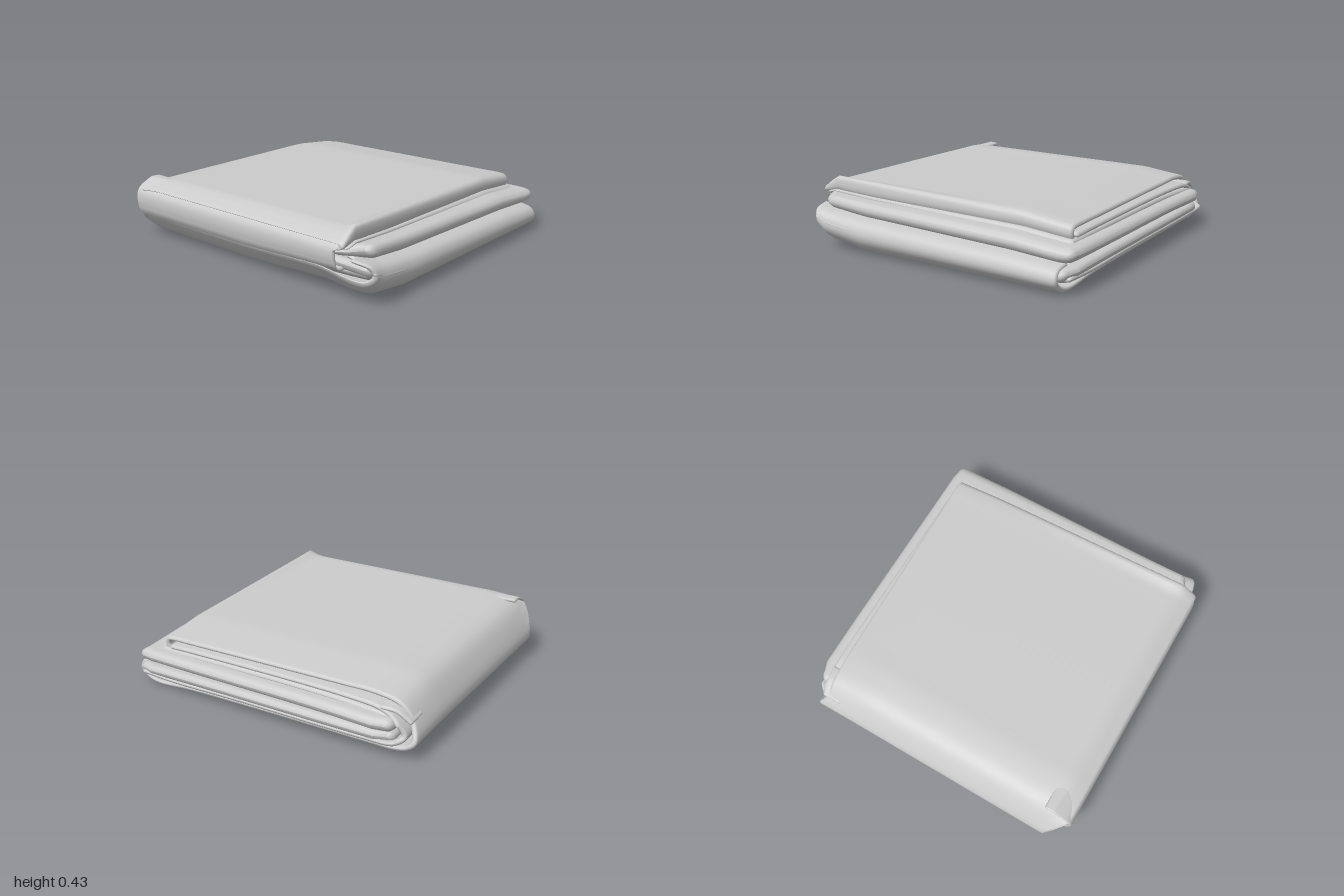
import * as THREE from 'three';

const material = new THREE.MeshStandardMaterial({ color: 0xcccccc, side: THREE.DoubleSide });
const smooth = THREE.MathUtils.smoothstep;

// Piecewise-linear lookup through [x, value] pairs
function lookup(table, x) {
  if (x <= table[0][0]) return table[0][1];
  for (let i = 1; i < table.length; i++) {
    const [x1, v1] = table[i], [x0, v0] = table[i - 1];
    if (x <= x1) return v0 + (v1 - v0) * (x - x0) / (x1 - x0);
  }
  return table[table.length - 1][1];
}

// Height of the top and underside of the whole stack along x
const TOP = [[-0.95, 0.36], [-0.83, 0.408], [0.53, 0.392], [0.82, 0.355], [0.95, 0.345]];
const BOTTOM = [[-0.95, 0.2], [-0.87, 0.1], [-0.8, 0.035], [-0.53, 0], [0.86, 0], [0.95, 0.03]];
const BOTTOM_BACK = [[-0.95, 0.18], [-0.87, 0.06], [-0.82, 0], [0.86, 0], [0.95, 0.03]];

// Sag of the stack: sloping top, raised front lip on one side, tilted middle folds, skewed hem
function sag(x, y, z) {
  const low = THREE.MathUtils.lerp(lookup(BOTTOM_BACK, x), lookup(BOTTOM, x), smooth(z, 0, 0.8));
  const slope = Math.max(0, 0.53 - x);
  const lip = 0.024 * slope * smooth(z, 0.7, 0.8) * smooth(y, 0.33, 0.39) * smooth(x, -0.95, -0.83);
  const tilt = 0.025 * slope * Math.sin(Math.PI * THREE.MathUtils.clamp(y / 0.41, 0, 1)) * smooth(z, -0.5, 0.5) * smooth(x, -0.97, -0.8);
  const skew = 0.025 * x * smooth(z, 0.5, 0.75) * smooth(y, 0.28, 0.32);
  return [x, low + (lookup(TOP, x) - low) * y / 0.41 + lip + tilt, z - skew];
}

// A thick sheet following a (z, y) path, running from x0 to x1, with rounded rims.
// x0 and x1 may be functions of (z, y) so that edges can be skewed.
// With turned set, the path is in (x, y) and the sheet runs along -z instead.
function sheet(name, path, thickness, x0, x1, turned = false) {
  const h = thickness / 2;
  const at = (v, z, y) => (typeof v === 'function' ? v(z, y) : v);
  const curve = new THREE.CatmullRomCurve3(path.map(([z, y]) => new THREE.Vector3(z, y, 0)), false, 'centripetal');
  const n = (path.length - 1) * 6;
  const loop = [];
  const add = (k, angle) => {
    const p = curve.getPoint(k / n), d = curve.getTangent(k / n);
    const c = Math.cos(angle), s = Math.sin(angle);
    loop.push({ z: p.x, y: p.y, oz: -d.y * c + d.x * s, oy: d.x * c + d.y * s });
  };
  for (let k = 0; k <= n; k++) add(k, 0);
  for (let a = 1; a < 6; a++) add(n, a * Math.PI / 6);
  for (let k = n; k >= 0; k--) add(k, Math.PI);
  for (let a = 1; a < 6; a++) add(0, Math.PI + a * Math.PI / 6);

  // Stations along the length: rounded rim, long middle, rounded rim
  const stations = [];
  for (let a = 0; a < 4; a++) stations.push([0, a * Math.PI / 8]);
  for (let i = 0; i <= 36; i++) stations.push([i / 36, Math.PI / 2]);
  for (let a = 3; a >= 0; a--) stations.push([1, a * Math.PI / 8]);

  const positions = [], index = [], m = loop.length;
  stations.forEach(([u, phi], i) => {
    loop.forEach((q, j) => {
      const rim = h * Math.cos(phi), r = h * Math.sin(phi);
      const a = at(x0, q.z, q.y) + h, b = at(x1, q.z, q.y) - h;
      const x = a + (b - a) * u + (u === 0 ? -rim : u === 1 ? rim : 0);
      const y = q.y + q.oy * r, z = q.z + q.oz * r;
      positions.push(...(turned ? sag(z, y, -x) : sag(x, y, z)));
      if (i < stations.length - 1) {
        const p = i * m + j, s = i * m + (j + 1) % m;
        index.push(p, s, p + m, s, s + m, p + m);
      }
    });
  });
  const geometry = new THREE.BufferGeometry();
  geometry.setAttribute('position', new THREE.Float32BufferAttribute(positions, 3));
  geometry.setIndex(index);
  geometry.computeVertexNormals();
  const mesh = new THREE.Mesh(geometry, material);
  mesh.name = name;
  return mesh;
}

export function createModel() {
  const group = new THREE.Group();
  group.name = 'foldedCloth';
  const blend = (y, low, high) => THREE.MathUtils.lerp(low, high, smooth(y, 0.1, 0.3));
  // Back corners are cut at a slant
  const cut = (z) => Math.max(0, -0.88 - z);

  // Outer wrap: front hem, top, round the back, underside, up at the front
  group.add(sheet('outerWrap', [
    [0.77, 0.305], [0.787, 0.35], [0.777, 0.385], [0.74, 0.393], [0.6, 0.393], [-0.5, 0.388], [-0.7, 0.384],
    [-0.85, 0.35], [-0.925, 0.27], [-0.978, 0.145], [-0.94, 0.095], [-0.86, 0.07], [-0.7, 0.066],
    [0.2, 0.055], [0.6, 0.043], [0.85, 0.024], [0.93, 0.05], [0.975, 0.105], [0.955, 0.16], [0.86, 0.185],
  ], 0.036,
  (z, y) => blend(y, -0.93 + Math.max(0, z - 0.65) * 0.2, -0.945) + cut(z),
  (z, y) => blend(y, 0.87, 0.825 + 0.028 * z)));

  // Inner wrap nested inside the outer one
  group.add(sheet('innerWrap', [
    [0.74, 0.335], [0.55, 0.34], [-0.6, 0.34], [-0.78, 0.315], [-0.88, 0.24], [-0.92, 0.165],
    [-0.87, 0.12], [-0.7, 0.108], [0.2, 0.1], [0.7, 0.09], [0.91, 0.1],
  ], 0.036,
  (z, y) => blend(y, -0.86, -0.93) + cut(z) * 0.5,
  (z, y) => blend(y, 0.925, 0.86) - cut(z)));

  // Side fold: the top rolls over and turns back under
  group.add(sheet('sideFold', [
    [-0.78, 0.385], [-0.85, 0.386], [-0.915, 0.37], [-0.94, 0.31], [-0.94, 0.12], [-0.925, 0.06], [-0.87, 0.1],
  ], 0.024, -0.77, 0.89, true));

  // Stacked folds visible at the open front and side
  const frontLeft = (z) => -0.93 + Math.max(0, z - 0.78) * 0.9;
  const sideRight = (z) => 0.942 - Math.max(0, -0.8 - z) * 1.2 - Math.max(0, z - 0.87) * 0.5;
  group.add(sheet('upperFold', [[0.8, 0.3], [0.4, 0.305], [-0.4, 0.305], [-0.8, 0.28]], 0.045, frontLeft, 0.865));
  group.add(sheet('middleFold', [[0.885, 0.255], [0.5, 0.252], [-0.4, 0.25], [-0.82, 0.235]], 0.1, frontLeft, sideRight));
  group.add(sheet('lowerFold', [[0.92, 0.13], [0.5, 0.138], [-0.4, 0.145], [-0.83, 0.15]], 0.085, -0.88, (z) => sideRight(z) - 0.01));

  // Small tucked corners
  group.add(sheet('frontCornerTuck', [[0.8, 0.2], [0.9, 0.17], [0.978, 0.125]], 0.03, -0.87, (z) => -0.5 - z * 0.1));
  group.add(sheet('backCornerTuck', [[-0.78, 0.33], [-0.86, 0.32], [-0.94, 0.26]], 0.03, 0.7, (z) => 0.86 + (z + 0.78) * 0.15));
  return group;
}
